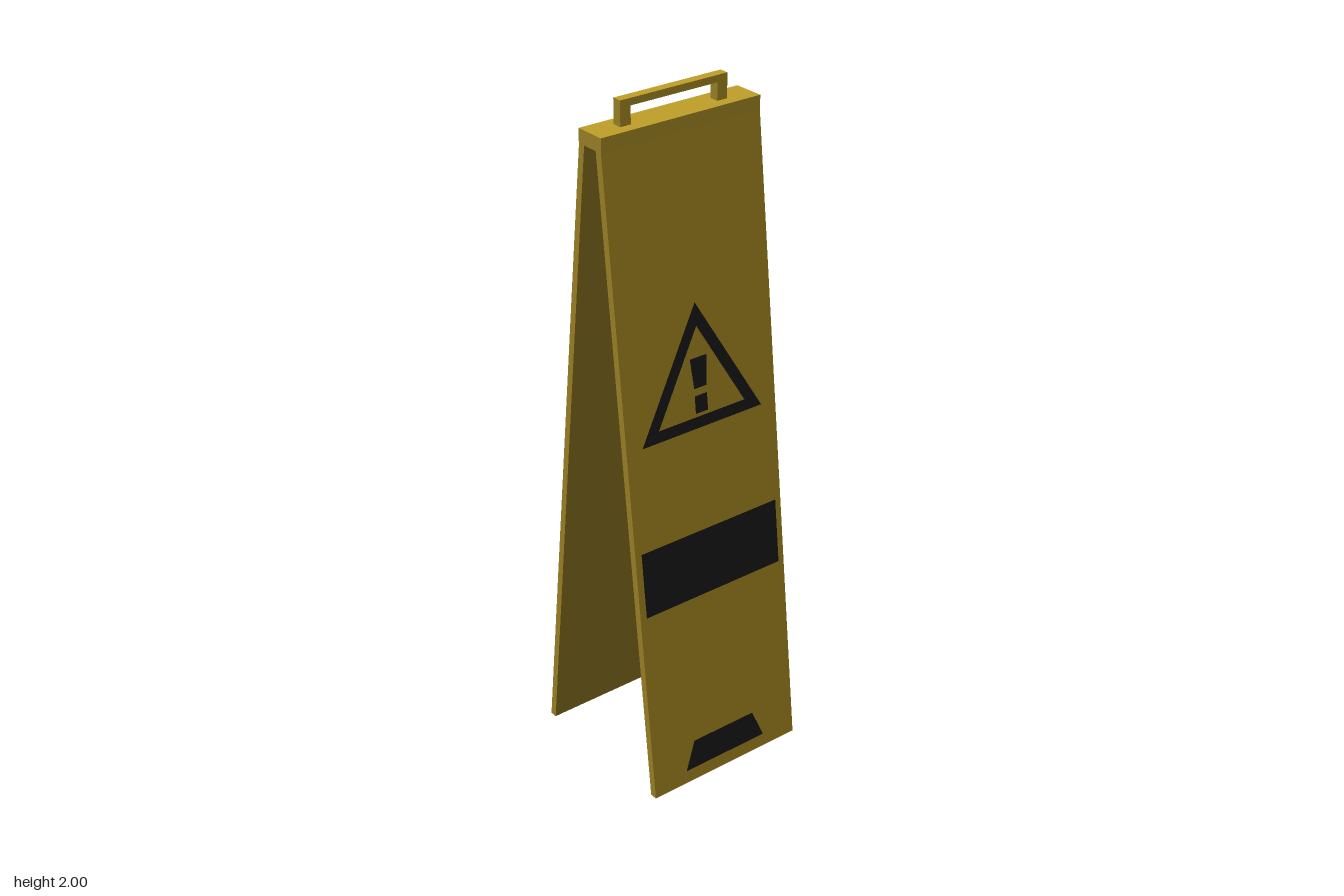
import * as THREE from 'three';

function material(name, color) {
  const m = new THREE.MeshStandardMaterial({ color });
  m.name = name;
  return m;
}
const yellow = material('yellow plastic', 0xc1a028);
const ochre = material('dark yellow plastic', 0x987e24);
const black = material('black print', 0x1e1e1f);

// Box sides in order +x, -x, +y, -y, +z, -z
const boardSides = [ochre, ochre, ochre, ochre, yellow, ochre];
const topSides = [ochre, ochre, yellow, ochre, yellow, yellow];

const HALF_W = 0.258;      // half width of the boards
const FOOT_Z = 0.258;      // outer face of a board at the floor
const SLOPE = 0.112;       // inward lean per unit of height
const BOARD_TOP = 1.91;    // hidden inside the hinge cap
const THICK = 0.022;

function part(name, geometry, mat, parent) {
  const mesh = new THREE.Mesh(geometry, mat);
  mesh.name = name;
  parent.add(mesh);
  return mesh;
}

function polygon(points) {
  return new THREE.Shape(points.map(([x, y]) => new THREE.Vector2(x, y)));
}

// Symmetric trapezoid between two heights
function trapezoid(bottomHalf, topHalf, y0, y1) {
  return polygon([[-bottomHalf, y0], [bottomHalf, y0], [topHalf, y1], [-topHalf, y1]]);
}

// Leaning board with its printed signs on the outer face
function makeBoard(name) {
  const board = new THREE.Group();
  board.name = name;

  // Upright slab sheared inward so that its foot stays flat on the floor
  const slab = new THREE.BoxGeometry(HALF_W * 2, BOARD_TOP, THICK);
  slab.translate(0, BOARD_TOP / 2, FOOT_Z - THICK / 2);
  const pos = slab.attributes.position;
  for (let i = 0; i < pos.count; i++) {
    pos.setZ(i, pos.getZ(i) - SLOPE * pos.getY(i));
  }
  slab.computeVertexNormals();
  part('panel', slab, boardSides, board);

  // Print lies in the plane of the leaning face
  const print = new THREE.Group();
  print.name = 'print';
  print.position.z = FOOT_Z + 0.0015;
  print.rotation.x = -Math.atan(SLOPE);
  print.scale.y = Math.hypot(1, SLOPE);
  board.add(print);

  const triangle = polygon([[-0.206, 1.072], [0.206, 1.072], [0, 1.428]]);
  triangle.holes.push(polygon([[-0.148, 1.105], [0, 1.362], [0.148, 1.105]]));
  const signs = {
    warningTriangle: triangle,
    exclamationStroke: trapezoid(0.021, 0.029, 1.187, 1.274),
    exclamationDot: trapezoid(0.021, 0.021, 1.115, 1.166),
    wideBand: trapezoid(0.238, 0.238, 0.575, 0.77),
    footMark: trapezoid(0.143, 0.108, 0.04, 0.127),
  };
  for (const [key, shape] of Object.entries(signs)) {
    part(key, new THREE.ShapeGeometry(shape), black, print);
  }
  return board;
}

export function createModel() {
  const model = new THREE.Group();
  model.name = 'foldingFloorSign';

  // Two mirrored boards
  const front = makeBoard('frontBoard');
  const back = makeBoard('backBoard');
  back.rotation.y = Math.PI;
  model.add(front, back);

  // Hinge cap over the top of both boards
  const cap = part('hingeCap', new THREE.BoxGeometry(HALF_W * 2, 0.04, 0.094), topSides, model);
  cap.position.y = 1.91;

  // Carrying handle: two posts and a grip bar
  const handle = new THREE.Group();
  handle.name = 'handle';
  model.add(handle);
  for (const side of [-1, 1]) {
    const post = part('handlePost', new THREE.BoxGeometry(0.033, 0.055, 0.028), topSides, handle);
    post.position.set(side * 0.1565, 1.9525, 0);
  }
  const grip = part('handleGrip', new THREE.BoxGeometry(0.346, 0.02, 0.028), topSides, handle);
  grip.position.y = 1.99;

  // Thin strap holding the boards together
  const strap = part('strap', new THREE.BoxGeometry(0.04, 0.003, 0.35), black, model);
  strap.position.y = 0.602;

  return model;
}
